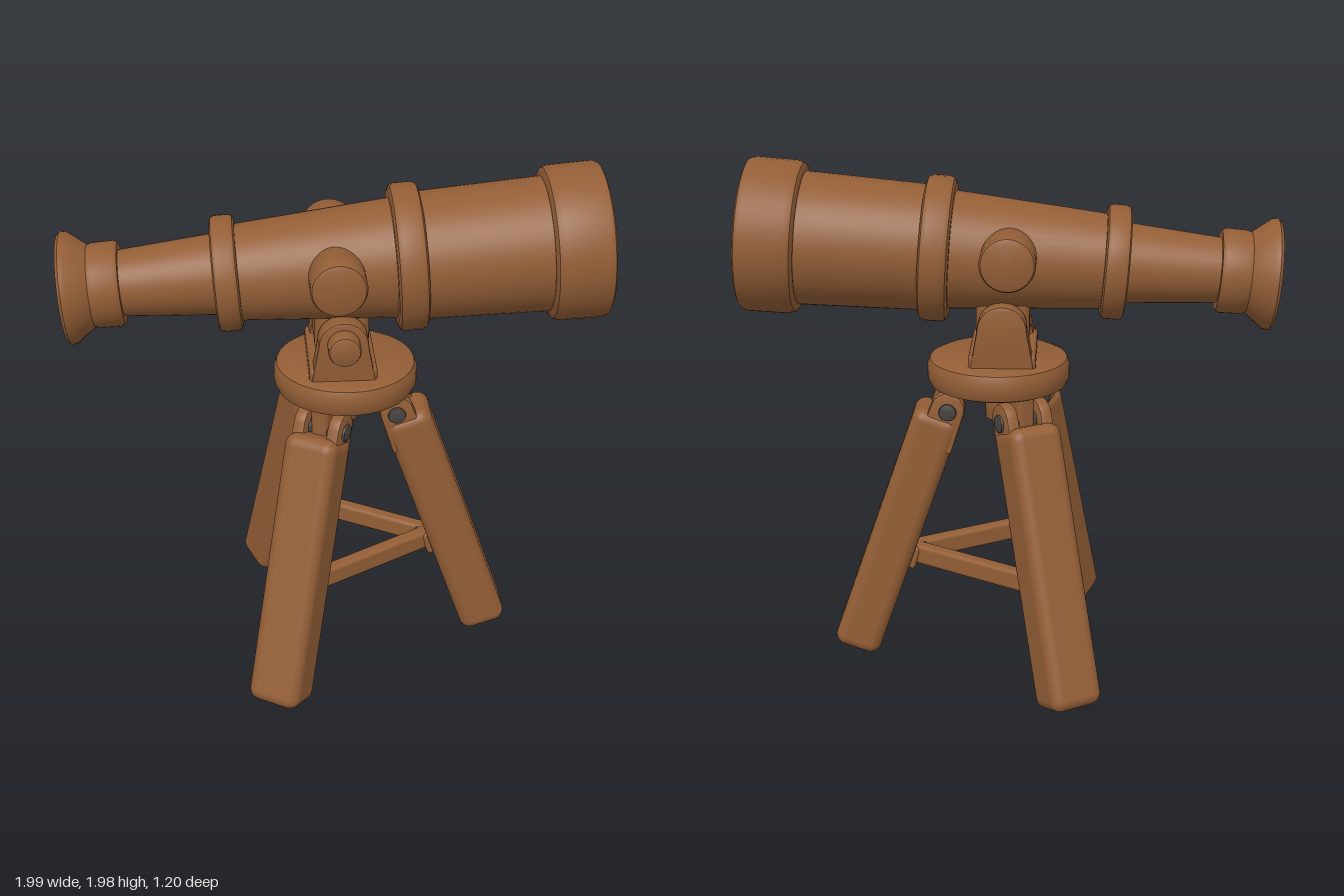
import * as THREE from 'three';
import { toCreasedNormals } from 'three/addons/utils/BufferGeometryUtils.js';
import { RoundedBoxGeometry } from 'three/addons/geometries/RoundedBoxGeometry.js';

const wood = new THREE.MeshStandardMaterial({ color: 0x935e36 });
wood.name = 'wood brown';
const shade = new THREE.MeshStandardMaterial({ color: 0x634c3b });
shade.name = 'inner dark brown';
const glass = new THREE.MeshStandardMaterial({ color: 0x7d7a76 });
glass.name = 'lens grey';
const iron = new THREE.MeshStandardMaterial({ color: 0x484440 });
iron.name = 'dark iron';

function part(parent, name, geometry, material, x = 0, y = 0, z = 0) {
  const mesh = new THREE.Mesh(geometry, material);
  mesh.name = name;
  mesh.position.set(x, y, z);
  parent.add(mesh);
  return mesh;
}

// Turned part from [radius, position] pairs, with crisp edges
function turned(points, segments = 48) {
  const g = new THREE.LatheGeometry(points.map(p => new THREE.Vector2(p[0], p[1])), segments);
  return toCreasedNormals(g, 0.7);
}

// Solid disc with softened rims, from y0 to y1
function disc(r, y0, y1, b) {
  return turned([[0, y0], [r - b, y0], [r - b * 0.3, y0 + b * 0.3], [r, y0 + b],
    [r, y1 - b], [r - b * 0.3, y1 - b * 0.3], [r - b, y1], [0, y1]]);
}

// Upright plate with a rounded top, centred in depth
function roundedPlate(halfBase, bottom, topRadius, depth) {
  const s = new THREE.Shape();
  s.moveTo(-halfBase, bottom);
  s.lineTo(halfBase, bottom);
  s.lineTo(topRadius, 0);
  s.absarc(0, 0, topRadius, 0, Math.PI, false);
  s.closePath();
  const b = 0.01;
  const g = new THREE.ExtrudeGeometry(s, {
    depth: depth - 2 * b, bevelEnabled: true, bevelSize: b, bevelOffset: -b,
    bevelThickness: b, bevelSegments: 2, curveSegments: 16
  });
  g.translate(0, 0, -depth / 2 + b);
  return toCreasedNormals(g, 0.7);
}

function buildTube() {
  const tube = new THREE.Group();
  tube.name = 'telescopeTube';
  const add = (name, geometry, material = wood) => part(tube, name, geometry, material);

  add('eyepiece', turned([[0, -0.87], [0.115, -0.87], [0.135, -0.975], [0.15, -0.987], [0.195, -0.987],
    [0.207, -0.975], [0.203, -0.955], [0.15, -0.885], [0.155, -0.87], [0.157, -0.79], [0.147, -0.775], [0, -0.775]]));
  add('drawTube', turned([[0.12, -0.79], [0.15, -0.42]]));
  add('rearRing', disc(0.212, -0.44, -0.35, 0.02));
  add('mainBarrel', turned([[0.175, -0.37], [0.222, 0.25]]));
  add('middleRing', disc(0.27, 0.21, 0.32, 0.025));
  add('frontBarrel', turned([[0.233, 0.3], [0.248, 0.79]]));
  add('lensHood', turned([[0.23, 0.765], [0.255, 0.765], [0.275, 0.775], [0.284, 0.8], [0.286, 0.955],
    [0.28, 0.972], [0.265, 0.98], [0.218, 0.98], [0.206, 0.965], [0.203, 0.9]]));
  add('lensSeat', turned([[0.206, 0.902], [0, 0.902]]), shade);

  // Gently domed lens
  const dome = [];
  for (let i = 0; i <= 8; i++) {
    const a = (i / 8) * Math.PI / 2;
    dome.push([0.175 * Math.cos(a), 0.9 + 0.04 * Math.sin(a)]);
  }
  dome[8][0] = 0;
  add('lens', turned(dome), glass);

  tube.children.forEach(m => m.geometry.rotateZ(-Math.PI / 2));
  tube.rotation.z = 0.07;
  tube.position.y = 1.645;
  return tube;
}

function buildMount() {
  const mount = new THREE.Group();
  mount.name = 'mount';
  // Focus knobs on both sides
  for (const s of [1, -1]) {
    const knob = part(mount, 'sideKnob', disc(0.102, 0.13, 0.312, 0.022), wood, -0.005, 1.675, 0);
    knob.rotation.x = s * Math.PI / 2;
    part(mount, 'bracketPlate', roundedPlate(0.128, -0.2, 0.092, 0.08), wood, 0.02, 1.4, s * 0.15);
  }
  part(mount, 'bracketBase', new RoundedBoxGeometry(0.25, 0.08, 0.37, 2, 0.015), wood, 0.02, 1.265, 0);
  part(mount, 'tubeLug', new RoundedBoxGeometry(0.2, 0.18, 0.22, 3, 0.03), wood, 0.02, 1.415, 0);
  part(mount, 'pivotBolt', disc(0.06, 0.15, 0.255, 0.015), wood, 0.02, 1.405, 0).rotation.x = Math.PI / 2;
  part(mount, 'headDisc', disc(0.27, 1.14, 1.258, 0.035), wood, 0.04, 0, 0);
  part(mount, 'centrePost', disc(0.05, 1.0, 1.16, 0.012), wood, 0.04, 0, 0);
  return mount;
}

function buildLeg() {
  const leg = new THREE.Group();
  leg.name = 'leg';
  const tilt = Math.atan2(0.35, 1.005);
  part(leg, 'legBeam', new RoundedBoxGeometry(0.185, 1.064, 0.21, 4, 0.045), wood, 0.4, 0.535, 0).rotation.z = tilt;
  // Hinge fork, lug and pin
  for (const s of [1, -1]) {
    part(leg, 'hingeEar', roundedPlate(0.07, -0.17, 0.065, 0.05), wood, 0.19, 1.06, s * 0.07).rotation.z = tilt;
  }
  part(leg, 'hingeLug', new RoundedBoxGeometry(0.1, 0.17, 0.07, 2, 0.02), wood, 0.18, 1.09, 0);
  part(leg, 'hingePin', disc(0.034, -0.105, 0.105, 0.008), iron, 0.19, 1.05, 0).rotation.x = Math.PI / 2;
  // Clamp where the braces meet the leg
  part(leg, 'braceClamp', new RoundedBoxGeometry(0.08, 0.1, 0.11, 2, 0.015), wood, 0.355, 0.43, 0).rotation.z = tilt;
  part(leg, 'clampPlate', new RoundedBoxGeometry(0.03, 0.075, 0.06, 2, 0.008), iron, 0.31, 0.435, 0).rotation.z = tilt;
  return leg;
}

export function createModel() {
  const model = new THREE.Group();
  model.name = 'telescopeOnTripod';
  model.add(buildTube(), buildMount());

  const tripod = new THREE.Group();
  tripod.name = 'tripod';
  tripod.position.x = 0.04;
  for (let i = 0; i < 3; i++) {
    const angle = i * Math.PI * 2 / 3;
    const leg = buildLeg();
    leg.rotation.y = angle;
    tripod.add(leg);
    // Brace opposite this leg, joining the other two
    const holder = new THREE.Group();
    holder.name = 'brace';
    holder.rotation.y = angle;
    part(holder, 'braceBar', new RoundedBoxGeometry(0.055, 0.08, 0.6, 2, 0.015), wood, -0.175, 0.435, 0);
    tripod.add(holder);
  }
  model.add(tripod);
  return model;
}
